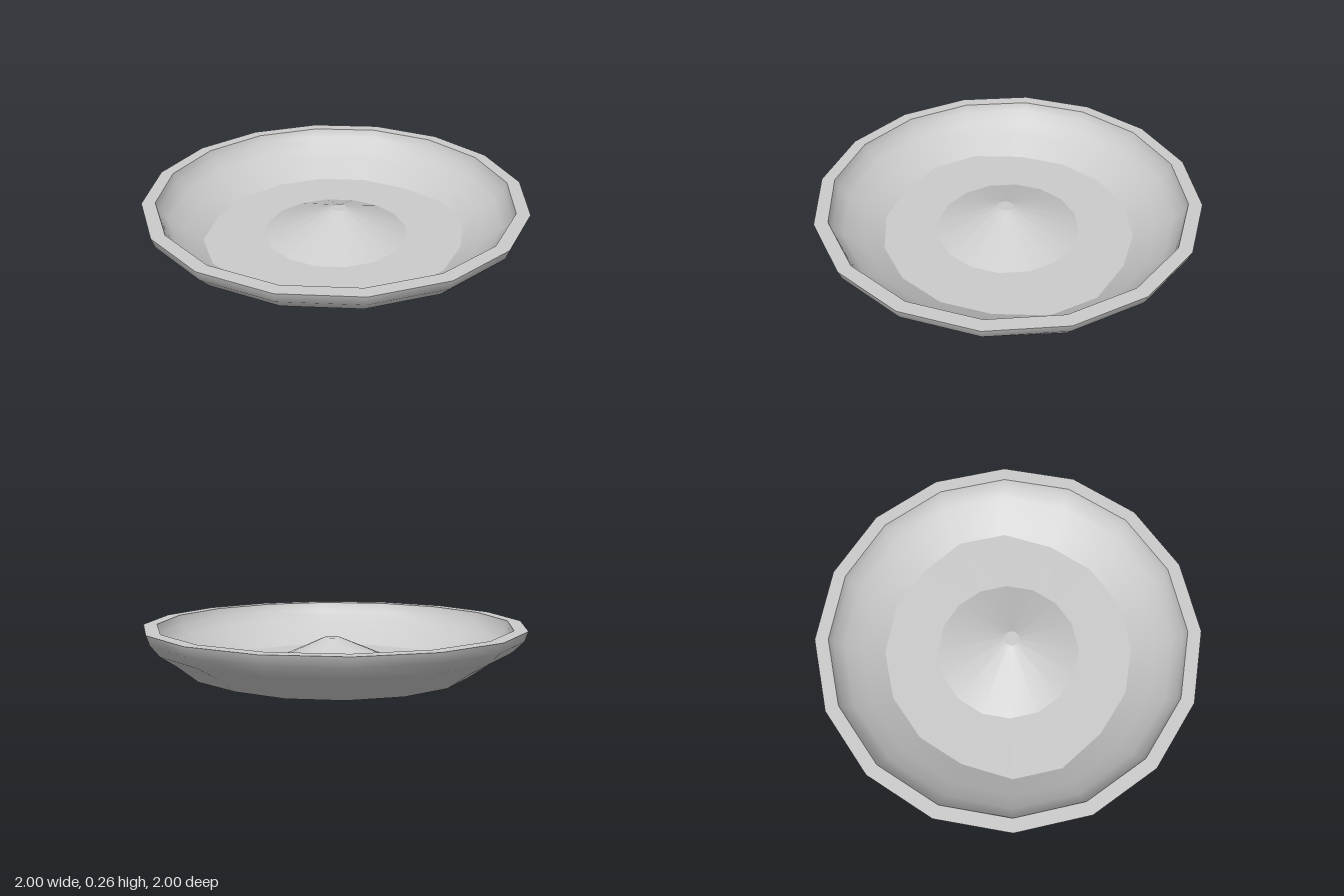
import * as THREE from 'three';

const SIDES = 16;
const TO_CORNER = 1 / Math.cos(Math.PI / SIDES); // flat-side distance to corner radius
const material = new THREE.MeshStandardMaterial({ color: 0xcccccc });

// 16-sided ring surface from [distance, height] pairs, smooth inside one section
function section(name, profile, move) {
  const points = profile.map(([r, y]) => new THREE.Vector2(r * TO_CORNER, y));
  const geometry = new THREE.LatheGeometry(points, SIDES, Math.PI / SIDES);
  const position = geometry.attributes.position;
  const v = new THREE.Vector3();
  for (let i = 0; i < position.count; i++) {
    v.fromBufferAttribute(position, i);
    move(v);
    position.setXYZ(i, v.x, v.y, v.z);
  }
  const mesh = new THREE.Mesh(geometry, material);
  mesh.name = name;
  return mesh;
}

// The two sides facing x bulge slightly towards the bottom
function bulge(v) {
  const r = Math.hypot(v.x, v.z);
  if (r > 0.5 && Math.abs(v.z) < 0.25 * r) {
    v.x += Math.sign(v.x) * 0.04 * Math.max(0, 1 - v.y / 0.2);
  }
}

// The tip of the cone sits a little off centre
function leanTip(v) {
  if (v.y > 0.1) {
    v.x += 0.01;
    v.z += 0.02;
  }
}

export function createModel() {
  const group = new THREE.Group();
  group.name = 'dish';
  const height = 0.257, floor = 0.025, tip = 0.175;

  // Shallow dish, separate sections keep the edges sharp
  group.add(
    section('base', [[0, 0], [0.71, 0]], bulge),
    section('outerWall', [[0.71, 0], [0.835, 0.09], [0.925, 0.145], [0.983, 0.205], [1, height]], bulge),
    section('rim', [[1, height], [0.93, height]], bulge),
    section('innerWall', [[0.93, height], [0.915, 0.21], [0.865, 0.155], [0.785, 0.1], [0.67, floor]], bulge),
    section('floor', [[0.67, floor], [0.37, floor]], bulge)
  );

  // Low cone in the middle with a small flat tip
  group.add(
    section('centreCone', [[0.382, floor], [0.04, tip]], leanTip),
    section('coneTip', [[0.04, tip], [0, tip]], leanTip)
  );
  return group;
}
